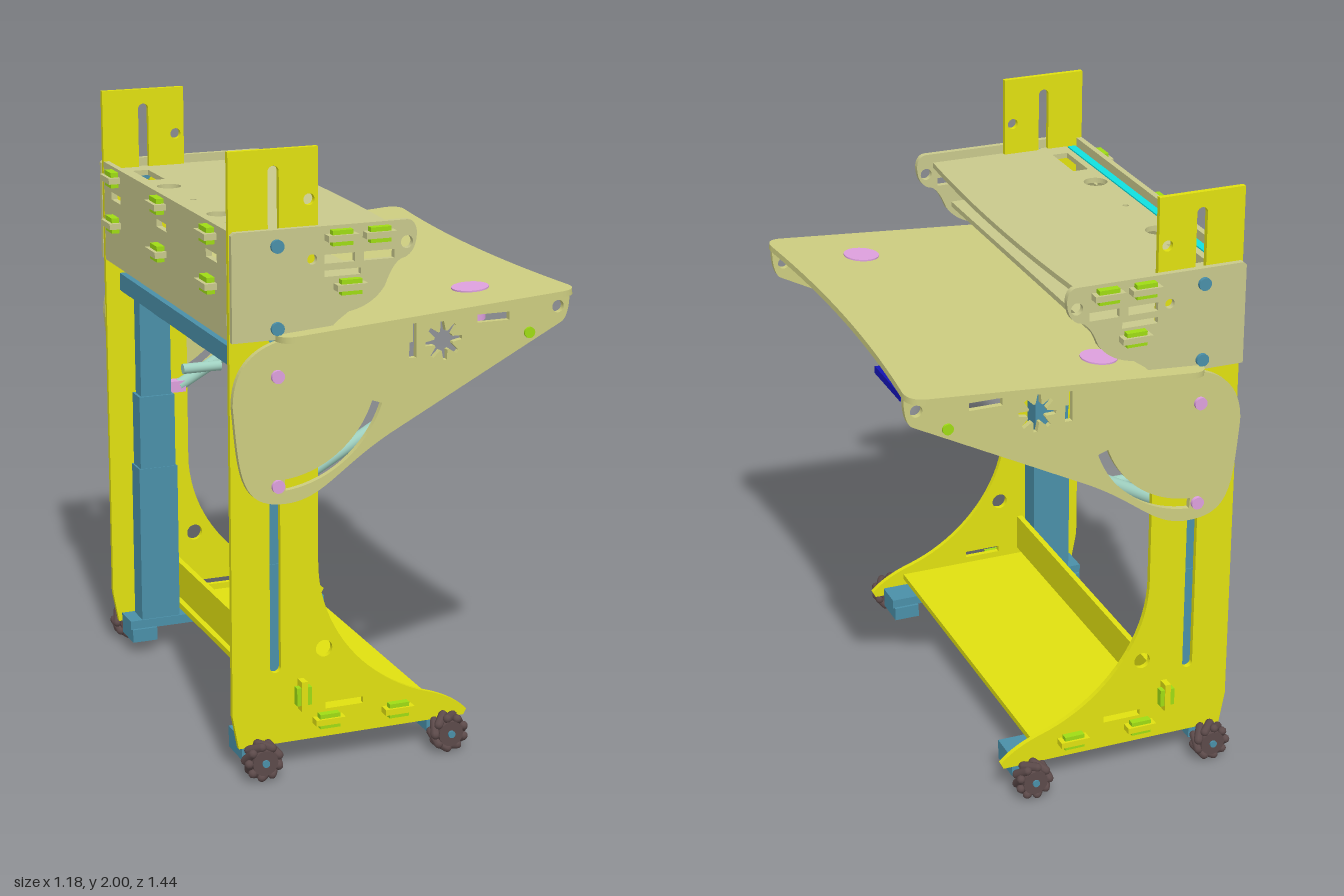
import * as THREE from 'three';

const YELLOW = 0xe0e010, BEIGE = 0xcccc80, SHELF = 0xc8c88c, BLUE = 0x4a8fa8, STEEL = 0x5f8da3,
  LIME = 0x9fdc14, MINT = 0x9fd0c0, MAUVE = 0xdda0dd, BROWN = 0x5c4a4a, CYAN = 0x10e0e0;
const mats = {};
const mat = (c) => (mats[c] ??= new THREE.MeshStandardMaterial({ color: c, side: THREE.DoubleSide }));
const V = (x, y) => new THREE.Vector2(x, y);

function add(parent, name, geo, color, x = 0, y = 0, z = 0) {
  const m = new THREE.Mesh(geo, mat(color));
  m.name = name;
  m.position.set(x, y, z);
  parent.add(m);
  return m;
}
// box given by its limits on each axis
function box(parent, name, color, x0, x1, y0, y1, z0, z1) {
  return add(parent, name, new THREE.BoxGeometry(x1 - x0, y1 - y0, z1 - z0), color, (x0 + x1) / 2, (y0 + y1) / 2, (z0 + z1) / 2);
}
// cylinder between two points
function rod(parent, name, color, a, b, r, seg = 20) {
  const p = new THREE.Vector3(...a), d = new THREE.Vector3(...b).sub(p);
  const m = add(parent, name, new THREE.CylinderGeometry(r, r, d.length(), seg), color);
  m.position.copy(p).addScaledVector(d, 0.5);
  m.quaternion.setFromUnitVectors(new THREE.Vector3(0, 1, 0), d.normalize());
  return m;
}
// hole outlines
const circle = (x, y, r) => new THREE.Path().absarc(x, y, r, 0, Math.PI * 2, true);
const rect = (x, y, w, h) => new THREE.Path([V(x - w / 2, y - h / 2), V(x - w / 2, y + h / 2), V(x + w / 2, y + h / 2), V(x + w / 2, y - h / 2)]);
const slot = (x, y0, y1, r) => new THREE.Path().absarc(x, y1 - r, r, 0, Math.PI, false).absarc(x, y0 + r, r, Math.PI, Math.PI * 2, false);

function plate(shape, holes, t) {
  shape.holes.push(...holes);
  return new THREE.ExtrudeGeometry(shape, { depth: t, bevelEnabled: false, curveSegments: 20 }).translate(0, 0, -t / 2);
}
// plate lying flat: shape y becomes -z, thickness is centred on y
const flat = (shape, holes, t) => plate(shape, holes, t).rotateX(-Math.PI / 2);

// tenon through a side plate, locked by a wedge
function sideTab(g, color, x, y, z, s, w) {
  const t = new THREE.Group();
  t.name = 'sideTenon';
  t.position.set(x, y, s * z);
  box(t, 'tenon', color, -w / 2, w / 2, -0.01, 0.01, -0.02, 0.02);
  box(t, 'wedge', LIME, -0.034, 0.034, -0.024, 0.024, -0.012, 0.012);
  g.add(t);
}

function wheel(g, x, s) {
  const w = new THREE.Group();
  w.name = 'wheel';
  w.position.set(x, 0.065, s * 0.685);
  const hub = add(w, 'hub', new THREE.CylinderGeometry(0.042, 0.042, 0.06, 16), BROWN);
  hub.rotation.x = Math.PI / 2;
  rod(w, 'axle', BLUE, [0, 0, -s * 0.08], [0, 0, s * 0.037], 0.012);
  for (let i = 0; i < 9; i++) {
    const a = (i / 9) * Math.PI * 2, arm = new THREE.Group();
    arm.name = 'roller';
    arm.rotation.z = a;
    const r = add(arm, 'rollerBody', new THREE.CapsuleGeometry(0.015, 0.05, 3, 8), BROWN, 0.048, 0, 0);
    r.rotation.x = Math.PI / 4 * (x > 0 ? s : -s);
    w.add(arm);
  }
  g.add(w);
}

function sideParts(g, s) {
  // tall upright
  const up = new THREE.Shape([V(-0.55, 2), V(-0.55, 0.2), V(-0.53, 0.09), V(0.25, 0.09), V(0.26, 0.11)]);
  up.quadraticCurveTo(0.21, 0.16, 0.12, 0.19);
  up.bezierCurveTo(-0.1, 0.26, -0.26, 0.46, -0.26, 0.68);
  up.lineTo(-0.26, 2);
  add(g, 'sidePanel', plate(up, [slot(-0.405, 0.33, 1.32, 0.018), slot(-0.405, 1.4, 1.95, 0.018), circle(-0.29, 1.84, 0.018),
    circle(-0.24, 0.39, 0.028), rect(-0.17, 0.195, 0.13, 0.022)], 0.018), YELLOW, 0, 0, s * 0.624);

  // upper shelf bracket
  const br = new THREE.Shape([V(-0.55, 1.42), V(-0.25, 1.42), V(-0.21, 1.46), V(-0.17, 1.488)]);
  br.quadraticCurveTo(-0.09, 1.5, -0.05, 1.56);
  br.quadraticCurveTo(-0.02, 1.64, 0.015, 1.642);
  br.quadraticCurveTo(0.055, 1.66, 0.055, 1.72);
  br.quadraticCurveTo(0.05, 1.76, 0.02, 1.76);
  br.lineTo(-0.54, 1.76);
  br.lineTo(-0.55, 1.75);
  add(g, 'shelfBracket', plate(br, [circle(0.022, 1.69, 0.02), rect(-0.2, 1.657, 0.1, 0.028), rect(-0.07, 1.657, 0.1, 0.028),
    rect(-0.19, 1.612, 0.12, 0.02), circle(-0.29, 1.66, 0.016)], 0.02), SHELF, 0, 0, s * 0.65);
  for (const x of [-0.2, -0.075]) sideTab(g, SHELF, x, 1.725, 0.675, s, 0.1);
  sideTab(g, SHELF, -0.17, 1.57, 0.675, s, 0.1);

  // desk cheek with curved tilt slot and cut-outs
  const ck = new THREE.Shape([V(-0.38, 1.418)]);
  ck.bezierCurveTo(-0.49, 1.4, -0.55, 1.33, -0.55, 1.22);
  ck.bezierCurveTo(-0.53, 1.0, -0.53, 0.895, -0.38, 0.895);
  ck.bezierCurveTo(-0.25, 0.895, -0.2, 1.0, 0, 1.1);
  ck.quadraticCurveTo(0.27, 1.24, 0.56, 1.39);
  ck.quadraticCurveTo(0.585, 1.41, 0.585, 1.485);
  const tilt = new THREE.Path().absarc(-0.405, 1.305, 0.368, -1.5, -0.33, false).absarc(-0.405, 1.305, 0.332, -0.33, -1.5, true);
  const star = [];
  for (let i = 0; i < 32; i++) {
    const r = i % 4 < 2 ? 0.063 : 0.033, a = (i / 32) * Math.PI * 2;
    star.push(V(0.15 + r * Math.cos(a), 1.365 + r * Math.sin(a)));
  }
  add(g, 'deskCheek', plate(ck, [tilt, new THREE.Path(star), rect(0.045, 1.375, 0.024, 0.11), rect(0.32, 1.425, 0.11, 0.026),
    circle(0.545, 1.44, 0.02)], 0.02), BEIGE, 0, 0, s * 0.65);

  // bolts
  for (const [y, c] of [[1.71, BLUE], [1.455, BLUE], [1.305, MAUVE], [0.955, MAUVE]]) rod(g, 'bolt', c, [-0.405, y, s * 0.6], [-0.405, y, s * 0.672], 0.021);
  rod(g, 'strutBolt', LIME, [0.445, 1.365, s * 0.57], [0.445, 1.365, s * 0.668], 0.018);

  // gas strut
  rod(g, 'strutBody', MINT, [-0.3, 0.95, s * 0.59], [0.1, 1.172, s * 0.59], 0.022);
  rod(g, 'strutRod', STEEL, [0.1, 1.172, s * 0.59], [0.445, 1.365, s * 0.59], 0.01);
  rod(g, 'strutPin', MINT, [-0.3, 1.02, s * 0.545], [-0.16, 1.02, s * 0.545], 0.018);
  box(g, 'strutMount', MAUVE, -0.345, -0.28, 0.93, 0.97, s * 0.59 - 0.02, s * 0.59 + 0.02);

  // telescopic leg and foot
  const leg = (n, y0, y1, w, d) => box(g, n, BLUE, -0.405 - d, -0.405 + d, y0, y1, s * 0.557 - w, s * 0.557 + w);
  leg('outerLeg', 0.11, 0.68, 0.042, 0.07);
  leg('middleLeg', 0.68, 0.94, 0.039, 0.064);
  leg('innerLeg', 0.94, 1.32, 0.03, 0.055);
  box(g, 'foot', BLUE, -0.52, 0.22, 0.09, 0.122, s * 0.56 - 0.05, s * 0.56 + 0.05);
  for (const x of [-0.47, 0.17]) {
    box(g, 'wheelMount', BLUE, x - 0.045, x + 0.045, 0.045, 0.092, s * 0.56 - 0.06, s * 0.56 + 0.06);
    wheel(g, x, s);
  }

  // base tenons
  for (const x of [-0.23, 0.01]) sideTab(g, YELLOW, x, 0.152, 0.65, s, 0.1);
  box(g, 'backTenon', YELLOW, -0.33, -0.31, 0.2, 0.3, s * 0.65 - 0.02, s * 0.65 + 0.02);
  box(g, 'backWedge', LIME, -0.345, -0.295, 0.22, 0.28, s * 0.655 - 0.012, s * 0.655 + 0.012);
}

export function createModel() {
  const g = new THREE.Group();
  g.name = 'adjustableDesk';
  for (const s of [1, -1]) sideParts(g, s);

  // base shelf and back board
  box(g, 'baseShelf', YELLOW, -0.33, 0.14, 0.142, 0.162, -0.618, 0.618);
  box(g, 'baseBackBoard', YELLOW, -0.33, -0.31, 0.185, 0.315, -0.618, 0.618);

  // lift frame under the desk
  for (const x of [-0.48, -0.35]) box(g, 'frameRail', BLUE, x - 0.025, x + 0.025, 1.31, 1.37, -0.6, 0.6);
  for (const z of [-0.557, -0.2, 0.2, 0.557]) box(g, 'framePlate', BLUE, -0.5, -0.33, 1.305, 1.325, z - 0.05, z + 0.05);
  const tray = new THREE.Shape([V(-0.1, 1.36), V(-0.19, 1.245), V(-0.3, 1.238), V(-0.32, 1.36)]);
  add(g, 'cableTray', plate(tray, [], 0.88), STEEL);

  // upper shelf with curved front edge
  const sh = new THREE.Shape([V(-0.492, -0.63), V(0, -0.63)]);
  sh.quadraticCurveTo(0.045, 0, 0, 0.63);
  sh.lineTo(-0.492, 0.63);
  const holes = [circle(-0.44, 0, 0.01)];
  for (const s of [1, -1]) holes.push(rect(-0.44, s * 0.46, 0.055, 0.18), circle(-0.44, s * 0.245, 0.04));
  add(g, 'upperShelf', flat(sh, holes, 0.018), SHELF, 0, 1.724, 0);
  box(g, 'lowerShelf', SHELF, -0.37, -0.07, 1.56, 1.578, -0.64, 0.64);
  box(g, 'lightStrip', CYAN, -0.522, -0.494, 1.716, 1.736, -0.605, 0.605);

  // back plate of the upper shelf, with three slots and tenons
  const bp = new THREE.Shape([V(-0.614, 1.42), V(0.614, 1.42), V(0.614, 1.76), V(-0.614, 1.76)]);
  const back = add(g, 'shelfBackPlate', plate(bp, [-0.48, 0, 0.48].map((z) => rect(z, 1.657, 0.1, 0.026)), 0.02), SHELF, -0.54);
  back.rotation.y = Math.PI / 2;
  for (const z of [-0.48, 0, 0.48]) for (const y of [1.725, 1.57]) {
    box(g, 'backTenon', SHELF, -0.59, -0.53, y - 0.01, y + 0.01, z - 0.05, z + 0.05);
    box(g, 'backWedge', LIME, -0.578, -0.552, y - 0.026, y + 0.026, z - 0.035, z + 0.035);
  }

  // tilted desktop
  const desk = new THREE.Group();
  desk.name = 'desk';
  desk.position.set(0.088, 1.47, 0);
  desk.rotation.z = 0.07;
  const top = new THREE.Shape([V(-0.44, -0.715), V(0.44, -0.715)]);
  top.quadraticCurveTo(0.5, -0.715, 0.498, -0.65);
  top.quadraticCurveTo(0.43, 0, 0.498, 0.65);
  top.quadraticCurveTo(0.5, 0.715, 0.44, 0.715);
  top.lineTo(-0.44, 0.715);
  top.quadraticCurveTo(-0.5, 0.715, -0.5, 0.65);
  top.lineTo(-0.5, -0.65);
  top.quadraticCurveTo(-0.5, -0.715, -0.44, -0.715);
  add(desk, 'desktop', flat(top, [], 0.02), BEIGE, 0, -0.01, 0);
  for (const [x, z] of [[0.225, 0.5], [-0.2, -0.53]]) {
    add(desk, 'cableGrommet', new THREE.CylinderGeometry(0.045, 0.045, 0.1, 32), MAUVE, x, -0.052, z);
    add(desk, 'grommetRim', new THREE.CylinderGeometry(0.06, 0.06, 0.006, 32), MAUVE, x, 0.002, z);
  }
  box(desk, 'controlPad', 0x1414b4, 0.37, 0.492, -0.042, -0.02, -0.62, -0.39);
  g.add(desk);

  // slotted cross bar beneath the desktop
  const bar = new THREE.Shape([V(-0.64, 1.365), V(0.64, 1.365), V(0.64, 1.44), V(-0.64, 1.44)]);
  const cuts = [circle(0, 1.4, 0.014)];
  for (const s of [1, -1]) cuts.push(rect(s * 0.4, 1.4, 0.07, 0.03), rect(s * 0.225, 1.4, 0.07, 0.03), circle(s * 0.31, 1.4, 0.013));
  const cross = add(g, 'deskCrossBar', plate(bar, cuts, 0.018), BEIGE, 0.045);
  cross.rotation.y = Math.PI / 2;
  return g;
}
